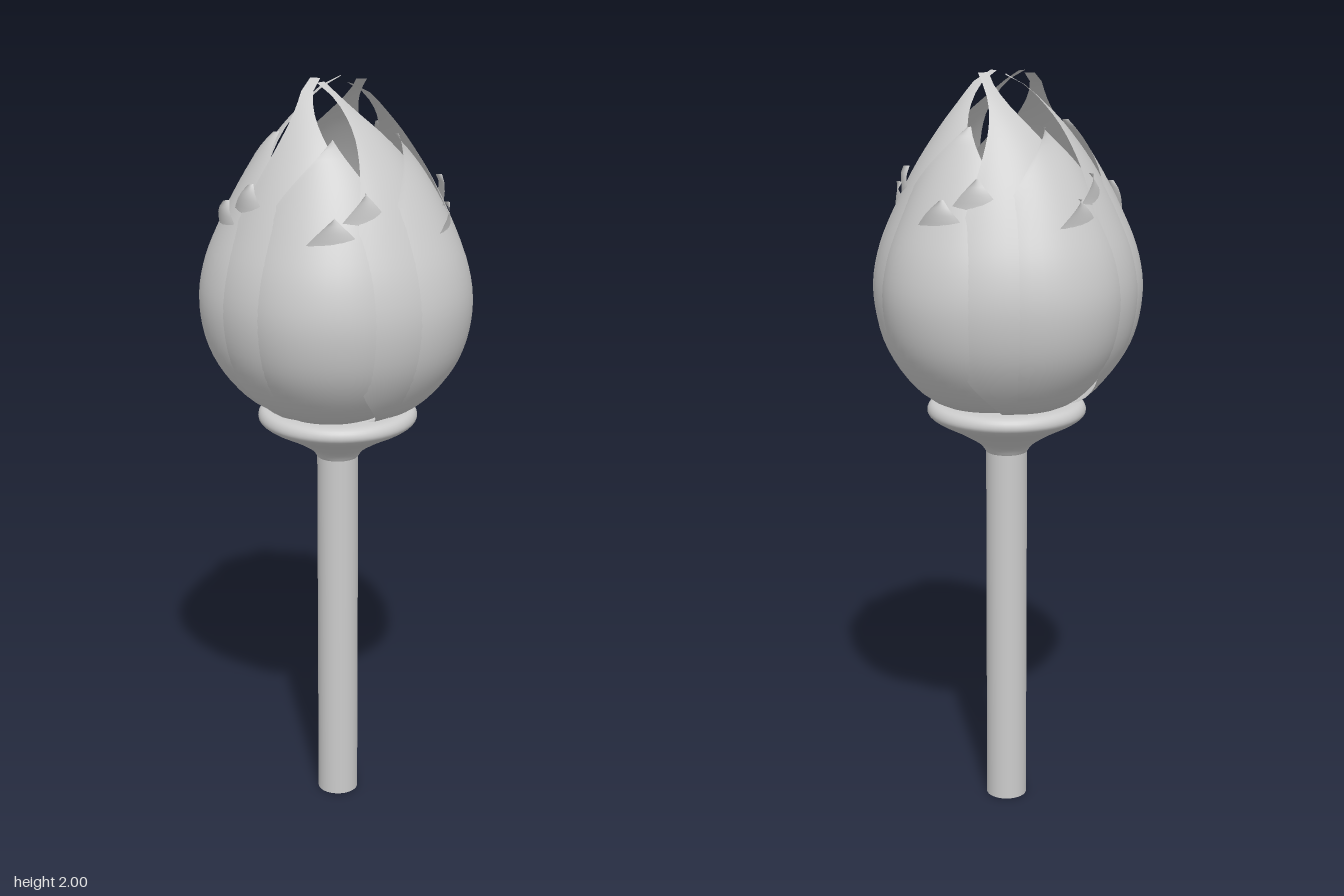
import * as THREE from 'three';

const RAD = Math.PI / 180;
const smooth = THREE.MathUtils.smoothstep;
const grey = new THREE.MeshStandardMaterial({ color: 0xcccccc, side: THREE.DoubleSide });

// Side profile of the bud as (radius, height)
const budProfile = new THREE.SplineCurve([
  [0.08, 1.135], [0.19, 1.15], [0.27, 1.21], [0.335, 1.31], [0.36, 1.43], [0.345, 1.54],
  [0.30, 1.65], [0.24, 1.76], [0.17, 1.86], [0.105, 1.94], [0.065, 2.0],
].map(([r, y]) => new THREE.Vector2(r, y)));

// One cupped petal that follows the bud profile and narrows to a point
function petalGeometry({ angle, end, halfWidth, taper, scale = 1, lobe = 0.1, tilt = 0.008, flare = 0, twist = 0 }) {
  const rows = 36, cols = 16, pos = [], idx = [];
  for (let i = 0; i <= rows; i++) {
    const v = i / rows;
    const p = budProfile.getPointAt(v * end);
    const s = Math.max(0, (v - taper) / (1 - taper));
    const width = halfWidth * (0.6 + 0.4 * smooth(v, 0.08, 0.28)) * (1 - Math.pow(s, 1.7));
    // straight blades passing beside the axis, seen from above
    const turn = p.y > 1.43
      ? twist * (Math.acos(0.07 / 0.36) - Math.acos(Math.min(1, 0.07 / p.x))) : 0;
    for (let j = 0; j <= cols; j++) {
      const u = j / cols * 2 - 1;
      const spread = width / halfWidth;
      const r = p.x * scale * (1 - lobe * u * u * spread * spread)
        + tilt * u + flare * smooth(v, 0.84, 1);
      const a = (angle + u * width) * RAD + turn;
      pos.push(r * Math.cos(a), p.y, r * Math.sin(a));
      if (i < rows && j < cols) {
        const k = i * (cols + 1) + j, n = k + cols + 1;
        idx.push(k, n, k + 1, k + 1, n, n + 1);
      }
    }
  }
  const g = new THREE.BufferGeometry();
  g.setAttribute('position', new THREE.Float32BufferAttribute(pos, 3));
  g.setIndex(idx);
  g.computeVertexNormals();
  return g;
}

// Five equal petals around the axis
function whorl(name, offset, options) {
  const group = new THREE.Group();
  group.name = name;
  for (let k = 0; k < 5; k++) {
    const petal = new THREE.Mesh(petalGeometry({ ...options, angle: -12 + 72 * k + offset }), grey);
    petal.name = 'petal';
    group.add(petal);
  }
  return group;
}

export function createModel() {
  const model = new THREE.Group();
  model.name = 'flowerBud';

  // Hollow stem
  const stem = new THREE.Mesh(new THREE.CylinderGeometry(0.055, 0.055, 1.02, 32, 1, true), grey);
  stem.name = 'stem';
  stem.position.y = 0.51;
  model.add(stem);

  // Flared cup with a rounded rim under the petals
  const cupCurve = new THREE.SplineCurve([
    [0.055, 1.0], [0.075, 1.025], [0.13, 1.06], [0.19, 1.092], [0.211, 1.113],
    [0.2, 1.137], [0.16, 1.142], [0.08, 1.14], [0, 1.14],
  ].map(([r, y]) => new THREE.Vector2(r, y)));
  const cupPoints = cupCurve.getPoints(40);
  cupPoints.forEach((p) => { p.x = Math.max(0, p.x); });
  const cup = new THREE.Mesh(new THREE.LatheGeometry(cupPoints, 48), grey);
  cup.name = 'cup';
  model.add(cup);

  // Large outer petals forming the five-lobed body
  model.add(whorl('outerPetals', 0, { end: 0.86, halfWidth: 40, taper: 0.68 }));
  // Lower petals whose small tips curl out through the body
  model.add(whorl('curledPetals', -3, { end: 0.68, halfWidth: 34, taper: 0.6, scale: 0.95, flare: 0.036 }));
  model.add(whorl('secondCurledPetals', -20, { end: 0.735, halfWidth: 34, taper: 0.6, scale: 0.93, flare: 0.036 }));
  // Inner blades swirling to the peak
  model.add(whorl('innerPetals', -60, {
    end: 1, halfWidth: 44, taper: 0.55, scale: 0.95, lobe: 0.03, tilt: 0.014, twist: 1.25,
  }));
  return model;
}
